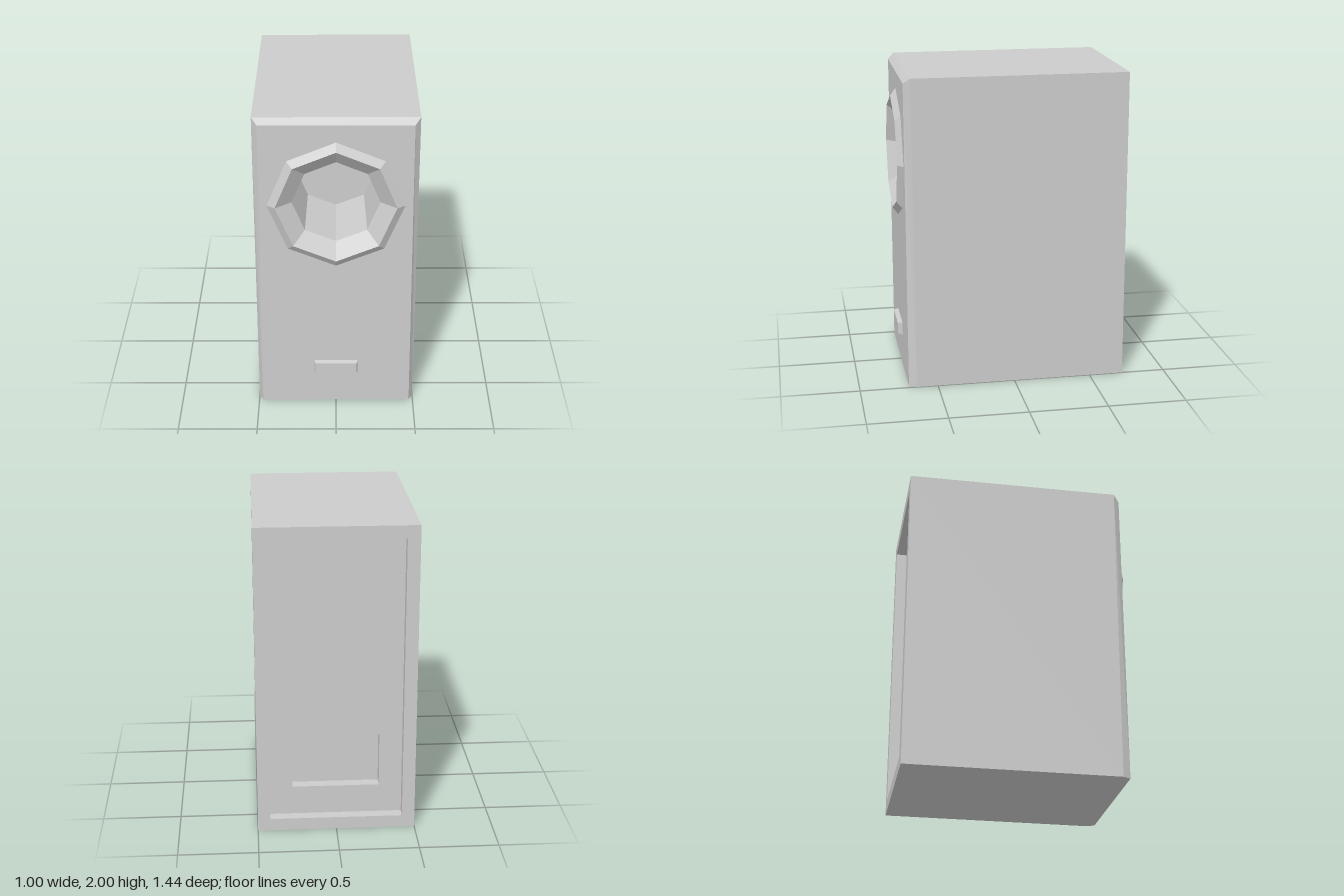
import * as THREE from 'three';

// Flat-faced skin through matching rings of points; the last ring may be closed.
function loft(rings, cap) {
  const pos = [];
  const tri = (...pts) => pts.forEach((p) => pos.push(...p));
  for (let r = 0; r < rings.length - 1; r++) {
    const a = rings[r], b = rings[r + 1];
    for (let i = 0; i < a.length; i++) {
      const j = (i + 1) % a.length;
      tri(a[i], a[j], b[j]);
      tri(a[i], b[j], b[i]);
    }
  }
  const end = rings[rings.length - 1];
  if (cap) for (let i = 1; i < end.length - 1; i++) tri(end[0], end[i], end[i + 1]);
  const geo = new THREE.BufferGeometry();
  geo.setAttribute('position', new THREE.Float32BufferAttribute(pos, 3));
  geo.computeVertexNormals();
  return geo;
}

// Rectangle ring, counter-clockwise from the front
const rect = (w, y0, y1, z) => [[-w, y0, z], [w, y0, z], [w, y1, z], [-w, y1, z]];

const PORT_Y = 1.435;
const octagon = (radius, z) => Array.from({ length: 8 }, (_, i) => {
  const t = (i * Math.PI) / 4;
  return [radius * Math.cos(t), PORT_Y + radius * Math.sin(t), z];
});

export function createModel() {
  const group = new THREE.Group();
  const grey = new THREE.MeshStandardMaterial({ color: 0xcccccc });
  grey.name = 'cabinet grey';
  const add = (name, geo) => {
    const mesh = new THREE.Mesh(geo, grey);
    mesh.name = name;
    group.add(mesh);
  };

  // Cabinet walls, bevelled towards the front on the top and sides
  const front = [[-0.475, 0, 0.685], [0.475, 0, 0.685], [0.465, 1.965, 0.685], [-0.465, 1.965, 0.685]];
  const edge = [[-0.5, 0, 0.635], [0.5, 0, 0.635], [0.5, 2, 0.645], [-0.5, 2, 0.645]];
  add('cabinetWalls', loft([rect(0.5, 0, 2, -0.72), edge, front], false));

  // Front panel with an opening for the port
  const toShape = (ring) => ring.map(([x, y]) => new THREE.Vector2(x, y));
  const panel = new THREE.Shape(toShape(front));
  panel.holes.push(new THREE.Path(toShape(octagon(0.42, 0))));
  add('frontPanel', new THREE.ShapeGeometry(panel).translate(0, 0, 0.685));

  // Raised flared port and the closed tube behind it
  add('portRing', loft([octagon(0.42, 0.685), octagon(0.37, 0.72), octagon(0.27, 0.64)], false));
  add('portTube', loft([octagon(0.27, 0.64), octagon(0.255, 0.19)], true));

  // Small raised plate low on the front
  add('frontPlate', loft([rect(0.14, 0.225, 0.31, 0.685), rect(0.132, 0.233, 0.303, 0.715)], true));

  // Back frame, recessed back panel and the deeper connector recess
  const back = [
    rect(0.5, 0, 2, -0.72),
    rect(0.42, 0.08, 1.92, -0.72),
    rect(0.42, 0.08, 1.92, -0.65),
    rect(0.275, 0.27, 0.62, -0.65),
    rect(0.275, 0.27, 0.62, -0.58),
  ].map((ring) => ring.reverse());
  add('backFrame', loft(back.slice(0, 3), false));
  add('backPanel', loft(back.slice(2, 4), false));
  add('connectorRecess', loft(back.slice(3), true));

  return group;
}
